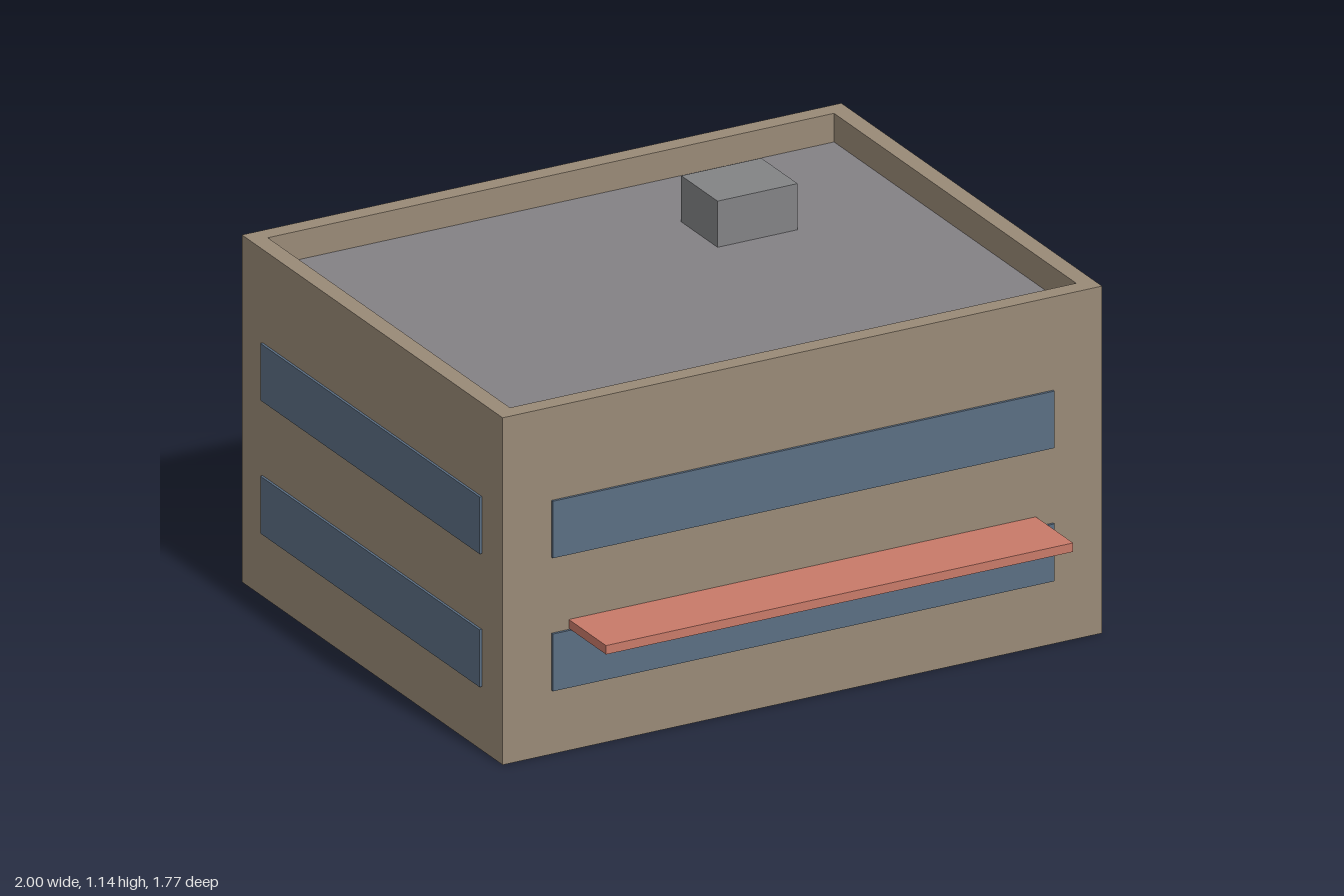
import * as THREE from 'three';

const mat = (name, color) => new THREE.MeshStandardMaterial({ name, color });

export function createModel() {
  const wall = mat('tan wall', 0x998a77);
  const roofGrey = mat('roof grey', 0x838185);
  const unitGrey = mat('unit grey', 0x828385);
  const glass = mat('blue glass', 0x5b6e83);
  const red = mat('canopy red', 0xc87a69);

  const W = 1.984, D = 1.542, CZ = -0.106; // footprint and its z centre
  const roofY = 1.0, topY = 1.09, rim = 0.055, plate = 0.005;

  const model = new THREE.Group();
  model.name = 'building';

  // Box given by its min and max corners
  const box = (name, material, [x0, y0, z0], [x1, y1, z1], parent = model) => {
    const mesh = new THREE.Mesh(new THREE.BoxGeometry(x1 - x0, y1 - y0, z1 - z0), material);
    mesh.position.set((x0 + x1) / 2, (y0 + y1) / 2, (z0 + z1) / 2);
    mesh.name = name;
    parent.add(mesh);
    return mesh;
  };

  // Main block
  const z0 = CZ - D / 2, z1 = CZ + D / 2, baseY = roofY - plate;
  box('walls', wall, [-W / 2, 0, z0], [W / 2, baseY, z1]);

  // Parapet ring around the roof
  const rect = (Type, w, d) => new Type([
    new THREE.Vector2(-w / 2, -d / 2), new THREE.Vector2(w / 2, -d / 2),
    new THREE.Vector2(w / 2, d / 2), new THREE.Vector2(-w / 2, d / 2),
  ]);
  const ring = rect(THREE.Shape, W, D);
  ring.holes.push(rect(THREE.Path, W - 2 * rim, D - 2 * rim));
  const parapet = new THREE.Mesh(
    new THREE.ExtrudeGeometry(ring, { depth: topY - baseY, bevelEnabled: false }).rotateX(-Math.PI / 2), wall);
  parapet.position.set(0, baseY, CZ);
  parapet.name = 'parapet';
  model.add(parapet);

  // Sunken roof and rooftop unit
  box('roof', roofGrey, [-W / 2 + rim, baseY, z0 + rim], [W / 2 - rim, roofY, z1 - rim]);
  box('rooftopUnit', unitGrey, [0.265, roofY, -0.525], [0.53, 1.145, -0.31]);

  // Window bands on all four sides of both floors
  const windows = new THREE.Group();
  windows.name = 'windows';
  model.add(windows);
  const t = 0.008, halfX = 0.83, halfZ = 0.648;
  for (const [floor, y0, y1] of [['lower', 0.2, 0.38], ['upper', 0.618, 0.797]]) {
    box(`${floor}FrontWindow`, glass, [-halfX, y0, z1], [halfX, y1, z1 + t], windows);
    box(`${floor}BackWindow`, glass, [-halfX, y0, z0 - t], [halfX, y1, z0], windows);
    box(`${floor}LeftWindow`, glass, [W / 2, y0, CZ - halfZ], [W / 2 + t, y1, CZ + halfZ], windows);
    box(`${floor}RightWindow`, glass, [-W / 2 - t, y0, CZ - halfZ], [-W / 2, y1, CZ + halfZ], windows);
  }

  // Entrance canopy
  box('canopy', red, [-0.773, 0.383, z1], [0.773, 0.411, 0.885]);

  return model;
}
